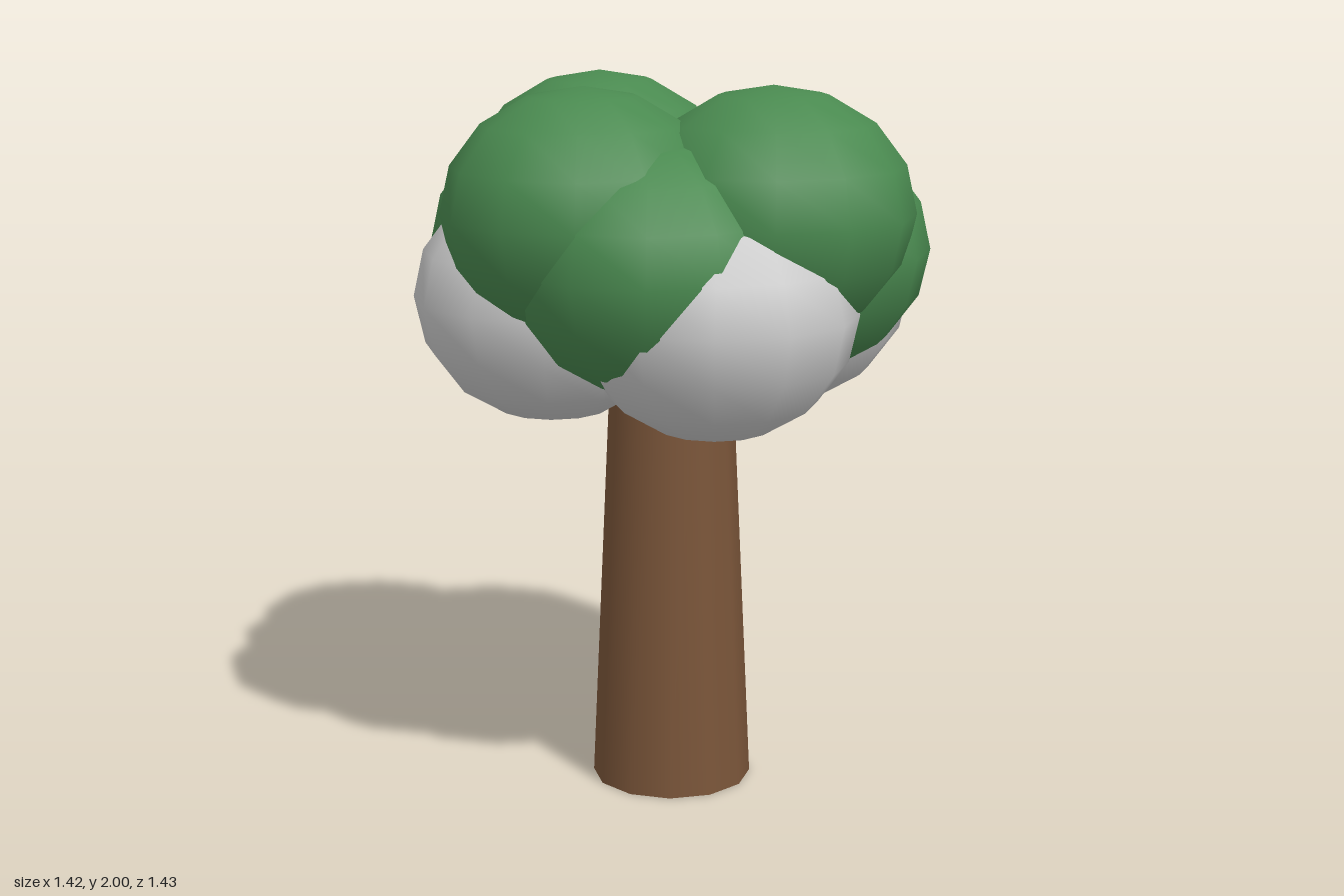
import * as THREE from 'three';

export function createModel() {
  const tree = new THREE.Group();
  tree.name = 'tree';
  const bark = new THREE.MeshStandardMaterial({ color: 0x7a5539 });
  const leaves = new THREE.MeshStandardMaterial({ color: 0x4a8a50 });
  const grey = new THREE.MeshStandardMaterial({ color: 0xcccccc });

  // Tapered trunk, reaching up into the crown
  const trunk = new THREE.Mesh(new THREE.CylinderGeometry(0.16, 0.226, 1.45, 12), bark);
  trunk.name = 'trunk';
  trunk.position.set(-0.01, 0.725, 0);
  tree.add(trunk);

  // Slightly flattened foliage balls, shared by all layers
  const ball = new THREE.SphereGeometry(1, 12, 8).scale(0.385, 0.34, 0.385);

  function addLayer(name, material, y, centres) {
    const layer = new THREE.Group();
    layer.name = name;
    centres.forEach(([x, z], i) => {
      const puff = new THREE.Mesh(ball, material);
      puff.name = `${name}Puff${i + 1}`;
      puff.position.set(x, y, z);
      layer.add(puff);
    });
    tree.add(layer);
  }

  // Crown, from the bottom layer to the top
  addLayer('lowerFoliage', grey, 1.41, [[-0.06, 0.33], [0.13, -0.305], [0.325, 0], [-0.325, -0.1]]);
  addLayer('middleFoliage', leaves, 1.535, [[0.271, 0.17], [0.271, -0.17], [-0.208, 0.245], [-0.208, -0.245]]);
  addLayer('upperFoliage', leaves, 1.66, [[0.13, 0.305], [-0.06, -0.33], [-0.325, 0.09]]);

  return tree;
}
